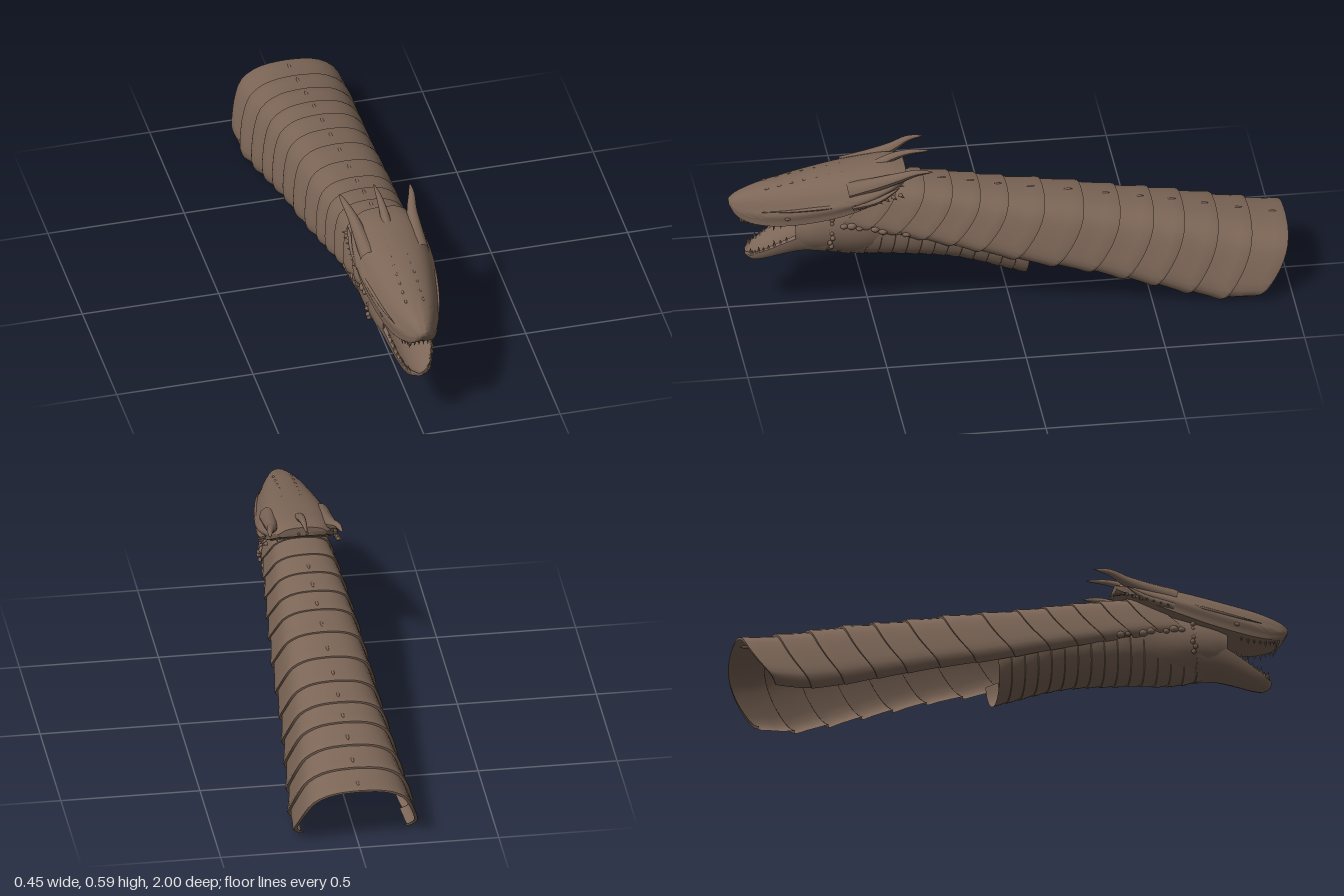
import * as THREE from 'three';
import { toCreasedNormals, mergeGeometries } from 'three/addons/utils/BufferGeometryUtils.js';

const hide = new THREE.MeshStandardMaterial({ color: 0x7c6657, side: THREE.DoubleSide });
hide.name = 'brownHide';

// Smooth lookup in a table of rows [z, ...values], ordered by rising z
function table(rows) {
  const n = rows[0].length - 1;
  const f = new THREE.CubicInterpolant(rows.map(r => r[0]), rows.flatMap(r => r.slice(1)), n, new Float32Array(n));
  return z => Array.from(f.evaluate(z));
}

// Skin over a list of rings of [x, y, z]; caps lists the ends to close (0 first, 1 last)
function loft(rings, { closed = false, caps = [], crease = 0.6 } = {}) {
  const n = rings[0].length, pos = rings.flat(2), idx = [];
  const last = closed ? n : n - 1;
  for (let i = 0; i < rings.length - 1; i++) for (let j = 0; j < last; j++) {
    const a = i * n + j, b = i * n + (j + 1) % n, c = a + n, d = b + n;
    idx.push(a, b, c, b, d, c);
  }
  for (const end of caps) {
    const r = end ? rings.length - 1 : 0, mid = pos.length / 3;
    pos.push(...[0, 1, 2].map(k => rings[r].reduce((s, p) => s + p[k], 0) / n));
    for (let j = 0; j < n; j++) {
      const a = r * n + j, b = r * n + (j + 1) % n;
      idx.push(mid, ...(end ? [a, b] : [b, a]));
    }
  }
  const g = new THREE.BufferGeometry();
  g.setAttribute('position', new THREE.Float32BufferAttribute(pos, 3));
  g.setIndex(idx);
  return toCreasedNormals(g, crease);
}

// Half profile (x, height) from the top down; mirrored to run from left to right
const smoothHalf = (pts, n) => new THREE.SplineCurve(pts.map(p => new THREE.Vector2(...p))).getPoints(n).map(p => [p.x, p.y]);
const mirrorOpen = half => [...half.slice(1).reverse(), ...half.map(([x, y]) => [-x, y])];
const mirrorClosed = half => [...half, ...half.slice(1, -1).reverse().map(([x, y]) => [-x, y])];

// Horn: tube whose rings shrink towards the tip
function horn(points, radius) {
  const curve = new THREE.CatmullRomCurve3(points.map(p => new THREE.Vector3(...p)));
  const n = 16, sides = 10, g = new THREE.TubeGeometry(curve, n, radius, sides), p = g.attributes.position;
  const v = new THREE.Vector3();
  for (let i = 0; i <= n; i++) for (let j = 0; j <= sides; j++) {
    const k = i * (sides + 1) + j, c = curve.getPointAt(i / n);
    v.fromBufferAttribute(p, k).sub(c).multiplyScalar(Math.pow(1 - i / n, 0.65)).add(c);
    p.setXYZ(k, v.x, v.y, v.z);
  }
  g.computeVertexNormals();
  return g;
}

// Cone with its base at a point, aimed along a direction
function spike(at, dir, len, r) {
  const g = new THREE.ConeGeometry(r, len, 6).translate(0, len / 2, 0);
  g.applyQuaternion(new THREE.Quaternion().setFromUnitVectors(new THREE.Vector3(0, 1, 0), new THREE.Vector3(...dir).normalize()));
  return g.translate(...at);
}
const knob = (at, r, stretch = 1) => new THREE.SphereGeometry(r, 8, 6).scale(1, 1, stretch).translate(...at);

export function createModel() {
  const model = new THREE.Group();
  model.name = 'serpentHeadAndNeck';
  const add = (name, g) => {
    const m = new THREE.Mesh(Array.isArray(g) ? mergeGeometries(g) : g, hide);
    m.name = name;
    model.add(m);
  };

  // Armoured back of the neck: overlapping arched plates, open underneath
  const neck = table([ // z at the top, half width, top, bottom
    [-1, 0.217, 0.232, 0.012], [-0.9, 0.222, 0.25, 0.004], [-0.8, 0.213, 0.272, 0.022], [-0.6, 0.197, 0.318, 0.08],
    [-0.4, 0.182, 0.355, 0.138], [-0.2, 0.174, 0.395, 0.186], [0, 0.162, 0.428, 0.244], [0.2, 0.146, 0.47, 0.3],
    [0.4, 0.128, 0.505, 0.348], [0.52, 0.115, 0.515, 0.37]]);
  const arch = mirrorOpen(smoothHalf([[0, 1], [0.28, 0.985], [0.53, 0.93], [0.75, 0.8], [0.87, 0.6], [0.95, 0.38], [1, 0.17], [0.95, 0.06], [0.85, 0]], 16));
  const neckRing = (z, s) => {
    const [w, top, bot] = neck(z), h = top - bot;
    return arch.map(([x, y]) => [x * w * s, bot + h * (0.5 + (y - 0.5) * s), z + 0.125 * (1 - y) - 0.02 * Math.sin(Math.PI * y)]);
  };
  const seams = [0.5, 0.4, 0.3, 0.2, 0.1, 0, -0.13, -0.27, -0.4, -0.52, -0.63, -0.75, -0.87, -1];
  const plates = [], ridge = [];
  for (let i = 0; i < seams.length - 1; i++) {
    const a = seams[i], b = seams[i + 1];
    const steps = [[0, 0.97], [0.3, 0.985], [0.65, 1.005], [0.92, 1.035], [1, 1.025], [1, 0.965]];
    plates.push(loft(steps.map(([f, s]) => neckRing(a + (b - a) * f, s)), { crease: 0.5 }));
    const z = a + (b - a) * 0.6;
    if (i > 1) ridge.push(knob([0, neck(z)[1] - 0.003, z], 0.006, 4));
  }
  add('neckPlates', plates);
  add('spineRidge', ridge);

  // Ribbed belly trough
  const belly = table([ // z, half width, upper edge, bottom
    [-0.08, 0.138, 0.205, 0.086], [0, 0.138, 0.24, 0.112], [0.1, 0.134, 0.27, 0.148], [0.2, 0.13, 0.30, 0.175],
    [0.4, 0.121, 0.335, 0.198], [0.6, 0.108, 0.37, 0.213], [0.72, 0.09, 0.37, 0.25]]);
  const bellyRings = [];
  for (let i = 0; i < 16; i++) for (const [f, s] of [[0, 0.985], [0.5, 1.01], [0.95, 1.015]]) {
    const z = 0.7 - (i + f) * 0.048, [w, top, bot] = belly(z), ring = [];
    for (let j = 0; j <= 20; j++) {
      const t = Math.PI * j / 20;
      ring.push([Math.cos(t) * w * s, top - Math.pow(Math.sin(t), 0.85) * (top - bot) * s, z + 0.015 * Math.sin(t)]);
    }
    bellyRings.push(ring);
  }
  add('bellyRibs', loft(bellyRings, { crease: 0.4 }));

  // Upper head, from the back of the skull to the snout
  const head = table([ // z, half width, top, bottom
    [0.37, 0.088, 0.56, 0.525], [0.42, 0.118, 0.566, 0.49], [0.5, 0.136, 0.56, 0.45], [0.6, 0.139, 0.55, 0.415],
    [0.7, 0.127, 0.535, 0.39], [0.8, 0.109, 0.517, 0.374], [0.88, 0.086, 0.502, 0.37], [0.94, 0.061, 0.485, 0.379],
    [0.98, 0.036, 0.468, 0.402], [1, 0.012, 0.452, 0.435]]);
  const skull = mirrorClosed(smoothHalf([[0, 1], [0.3, 0.975], [0.58, 0.88], [0.77, 0.72], [0.9, 0.52], [1, 0.36], [0.95, 0.2], [0.86, 0], [0, 0.03]], 18));
  const headRings = [];
  for (let i = 0; i <= 32; i++) {
    const z = 0.37 + 0.63 * Math.sin(Math.PI / 2 * i / 32), [w, top, bot] = head(z);
    headRings.push(skull.map(([x, y]) => [x * w, bot + y * (top - bot), z]));
  }
  add('upperHead', loft(headRings, { closed: true, caps: [0, 1], crease: 0.9 }));

  // Cheeks and throat, dished at the front behind the open mouth
  const throat = table([[0.42, 0.12, 0.48, 0.24], [0.55, 0.12, 0.46, 0.225], [0.66, 0.116, 0.45, 0.24], [0.74, 0.104, 0.43, 0.25], [0.77, 0.092, 0.41, 0.265]]);
  const throatRing = (z, s, zOut) => {
    const [w, top, bot] = throat(z);
    return Array.from({ length: 24 }, (_, j) => {
      const t = -j / 24 * Math.PI * 2, c = Math.cos(t);
      return [w * s * Math.sign(c) * Math.pow(Math.abs(c), 0.7), (top + bot) / 2 + (top - bot) / 2 * s * Math.sin(t), zOut];
    });
  };
  const throatRings = Array.from({ length: 11 }, (_, i) => throatRing(0.42 + 0.035 * i, 1, 0.42 + 0.035 * i));
  throatRings.push(throatRing(0.77, 0.8, 0.755));
  add('cheeksAndThroat', loft(throatRings, { closed: true, caps: [1], crease: 0.9 }));

  // Lower jaw; its floor climbs to the throat
  const jaw = table([[0.66, 0.108, 0.345, 0.235], [0.75, 0.095, 0.335, 0.243], [0.82, 0.08, 0.3, 0.23], [0.88, 0.062, 0.265, 0.214], [0.92, 0.043, 0.245, 0.21], [0.94, 0.016, 0.238, 0.22]]);
  const jawProfile = mirrorClosed([[0, 0.62], [0.4, 0.66], [0.75, 0.85], [0.88, 1], [1, 0.9], [0.98, 0.55], [0.8, 0.2], [0.45, 0.03], [0, 0]]);
  const jawRings = [];
  for (let i = 0; i <= 16; i++) {
    const z = 0.66 + 0.28 * Math.sin(Math.PI / 2 * i / 16), [w, top, bot] = jaw(z);
    jawRings.push(jawProfile.map(([x, y]) => [x * w, bot + y * (top - bot), z]));
  }
  add('lowerJaw', loft(jawRings, { closed: true, caps: [0, 1], crease: 0.8 }));

  // Paired details, gathered for both sides
  const upperTeeth = [], lowerTeeth = [], horns = [], frill = [], knobs = [], brows = [], bumps = [];
  for (const s of [1, -1]) {
    for (let i = 0; i < 10; i++) {
      const z = 0.82 + 0.14 * Math.sin(Math.PI / 2 * i / 9), [w, , bot] = head(z);
      upperTeeth.push(spike([s * w * 0.76, bot + 0.01, z], [0, -1, 0.1], i % 3 === 1 ? 0.034 : 0.025, 0.007));
      const zl = 0.8 + 0.125 * Math.sin(Math.PI / 2 * i / 9), [wl, top] = jaw(zl);
      lowerTeeth.push(spike([s * wl * 0.88, top - 0.008, zl], [s * 0.15, 1, 0.1], i % 3 === 2 ? 0.03 : 0.02, 0.007));
    }
    for (const x of [0.008, 0.024]) upperTeeth.push(spike([s * x, 0.395, 0.96], [0, -1, 0], 0.026, 0.006));
    horns.push(horn([[s * 0.092, 0.5, 0.58], [s * 0.1, 0.525, 0.48], [s * 0.108, 0.55, 0.4], [s * 0.122, 0.573, 0.34], [s * 0.13, 0.577, 0.28]], 0.034));
    horns.push(horn([[s * 0.122, 0.455, 0.57], [s * 0.13, 0.475, 0.48], [s * 0.128, 0.52, 0.4]], 0.018));
    // Spiny rim at the back of the head
    for (let i = 0; i < 7; i++) frill.push(spike([s * 0.126, 0.49 - 0.006 * i, 0.4 + 0.026 * i], [s, -0.1, -0.6], 0.026, 0.009));
    for (let i = 0; i < 4; i++) frill.push(spike([s * (0.015 + 0.025 * i), 0.545 - 0.009 * i, 0.4 + 0.008 * i], [0, -0.35, -1], 0.05, 0.014));
    // Knobbly seams on the cheek and between back and belly
    for (let i = 0; i < 8; i++) knobs.push(knob([s * (0.112 + 0.006 * Math.sin(i)), 0.29 + 0.018 * i, 0.645 + 0.006 * Math.sin(i * 2)], 0.009));
    for (let i = 0; i < 22; i++) {
      const z = 0.6 - 0.028 * i;
      knobs.push(knob([s * (0.115 + 0.0016 * i), belly(z)[1] + 0.004 * Math.sin(i * 2.3), z], 0.01 + 0.003 * Math.sin(i * 1.7), 1.4));
    }
    brows.push(horn([[s * 0.13, 0.468, 0.56], [s * 0.122, 0.455, 0.68], [s * 0.102, 0.44, 0.81], [s * 0.08, 0.432, 0.9]], 0.01));
    brows.push(knob([s * 0.103, 0.412, 0.8], 0.008, 1.5));
    for (let i = 0; i < 8; i++) {
      const z = 0.55 + 0.045 * i;
      bumps.push(knob([s * 0.032, head(z)[1] - 0.006, z], 0.005, 2));
    }
  }
  // Central crest horn
  horns.push(horn([[0, 0.54, 0.48], [0, 0.571, 0.42], [0, 0.588, 0.36], [0, 0.59, 0.27]], 0.02));
  add('upperTeeth', upperTeeth);
  add('lowerTeeth', lowerTeeth);
  add('horns', horns);
  add('headFrill', frill);
  add('seamKnobs', knobs);
  add('browsAndEyes', brows);
  add('crownBumps', bumps);
  return model;
}
